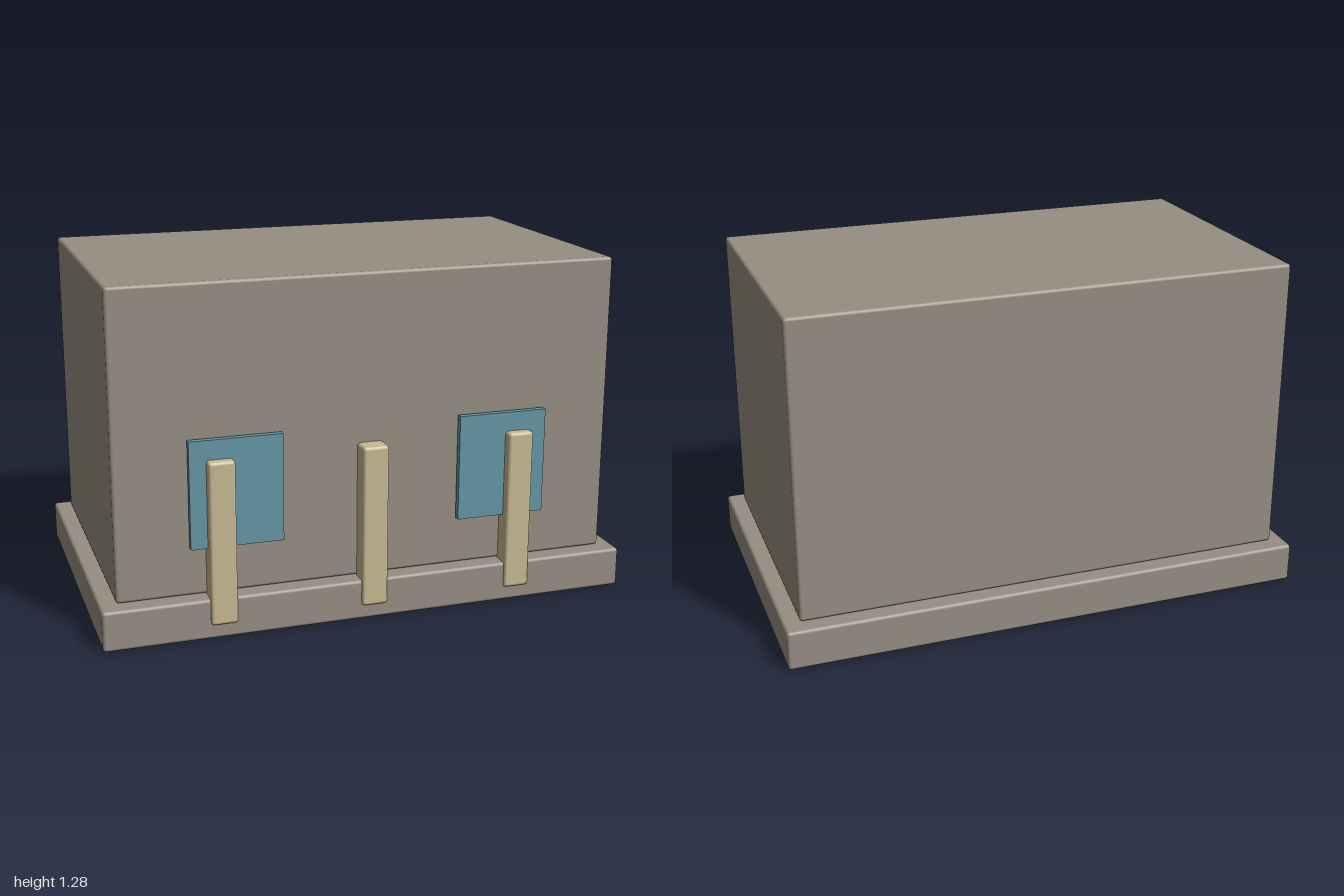
import * as THREE from 'three';
import { RoundedBoxGeometry } from 'three/addons/geometries/RoundedBoxGeometry.js';

const material = (name, color) => {
  const m = new THREE.MeshStandardMaterial({ color });
  m.name = name;
  return m;
};

export function createModel() {
  const model = new THREE.Group();
  model.name = 'building';
  const stone = material('warm grey stone', 0x978e82);
  const glass = material('blue glass', 0x6497a6);
  const timber = material('pale timber', 0xc7b992);

  // Box given by its limits on each axis, softened when a bevel is set
  const block = (name, mat, [x0, x1], [y0, y1], [z0, z1], bevel = 0) => {
    const size = [x1 - x0, y1 - y0, z1 - z0];
    const geometry = bevel
      ? new RoundedBoxGeometry(...size, 2, bevel)
      : new THREE.BoxGeometry(...size);
    const mesh = new THREE.Mesh(geometry, mat);
    mesh.name = name;
    mesh.position.set((x0 + x1) / 2, (y0 + y1) / 2, (z0 + z1) / 2);
    model.add(mesh);
  };

  // Plinth and main block
  block('plinth', stone, [-1, 1], [0, 0.15], [-0.605, 0.593], 0.012);
  block('mainBlock', stone, [-0.94, 0.94], [0.152, 1.28], [-0.546, 0.535], 0.012);

  // Window panes standing just off the front wall
  for (const [side, x] of [['left', 0.505], ['right', -0.505]]) {
    block(side + 'Window', glass, [x - 0.17, x + 0.17], [0.335, 0.732], [0.545, 0.569]);
  }

  // Front posts
  for (const [side, x] of [['left', 0.565], ['middle', 0], ['right', -0.565]]) {
    block(side + 'Post', timber, [x - 0.049, x + 0.049], [0.053, 0.66], [0.508, 0.605], 0.012);
  }

  return model;
}
